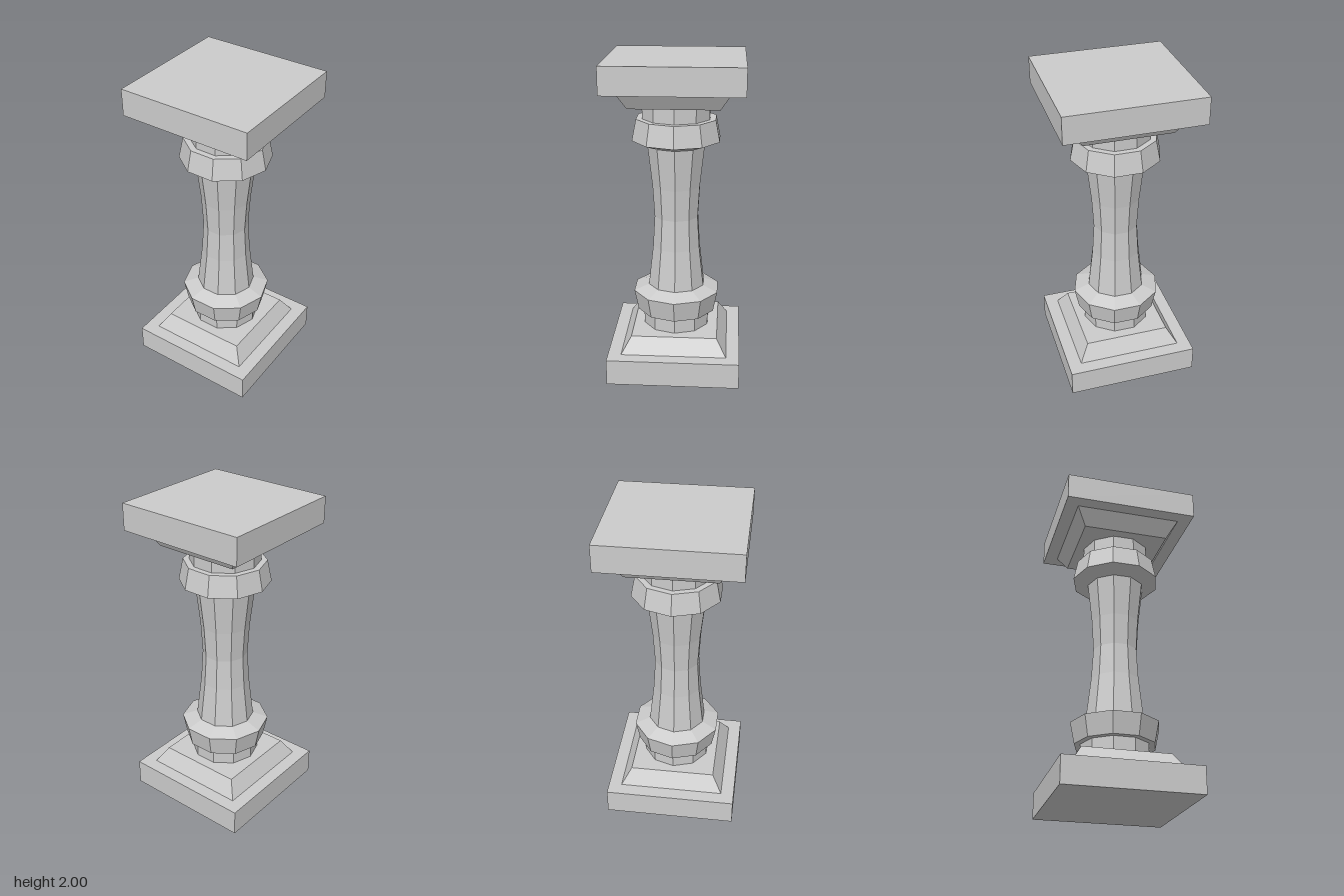
import * as THREE from 'three';

const SIDES = 10;
const material = new THREE.MeshStandardMaterial({ color: 0xcccccc, flatShading: true });

function part(name, geometry, y = 0) {
  const mesh = new THREE.Mesh(geometry, material);
  mesh.name = name;
  mesh.position.y = y;
  return mesh;
}

// Ten-sided turned piece with corners on the x axis; profile is [radius, y], bottom to top
function turned(name, profile) {
  const points = profile.map(([r, y]) => new THREE.Vector2(r, y));
  return part(name, new THREE.LatheGeometry(points, SIDES, Math.PI / 2));
}

// One end of the column, standing on y = 0
function createEnd(name) {
  const end = new THREE.Group();
  end.name = name;

  // Square slab
  end.add(part('plinth', new THREE.BoxGeometry(0.83, 0.166, 0.83), 0.083));

  // Sloped square step
  const step = new THREE.CylinderGeometry(0.27 * Math.SQRT2, 0.332 * Math.SQRT2, 0.102, 4);
  step.rotateY(Math.PI / 4);
  end.add(part('slopedStep', step, 0.217));

  // Neck and flared collar
  end.add(turned('neck', [[0.216, 0.26], [0.216, 0.37]]));
  end.add(turned('collar', [[0, 0.37], [0.254, 0.37], [0.281, 0.503], [0.184, 0.539]]));
  return end;
}

export function createModel() {
  const column = new THREE.Group();
  column.name = 'column';

  // Base, and the same piece turned over as the capital
  const capital = createEnd('capital');
  capital.rotation.x = Math.PI;
  capital.position.y = 2;
  column.add(createEnd('base'), capital);

  // Waisted shaft
  column.add(turned('shaft', [
    [0.184, 0.539], [0.154, 0.8], [0.142, 1], [0.154, 1.2], [0.184, 1.461],
  ]));
  return column;
}
